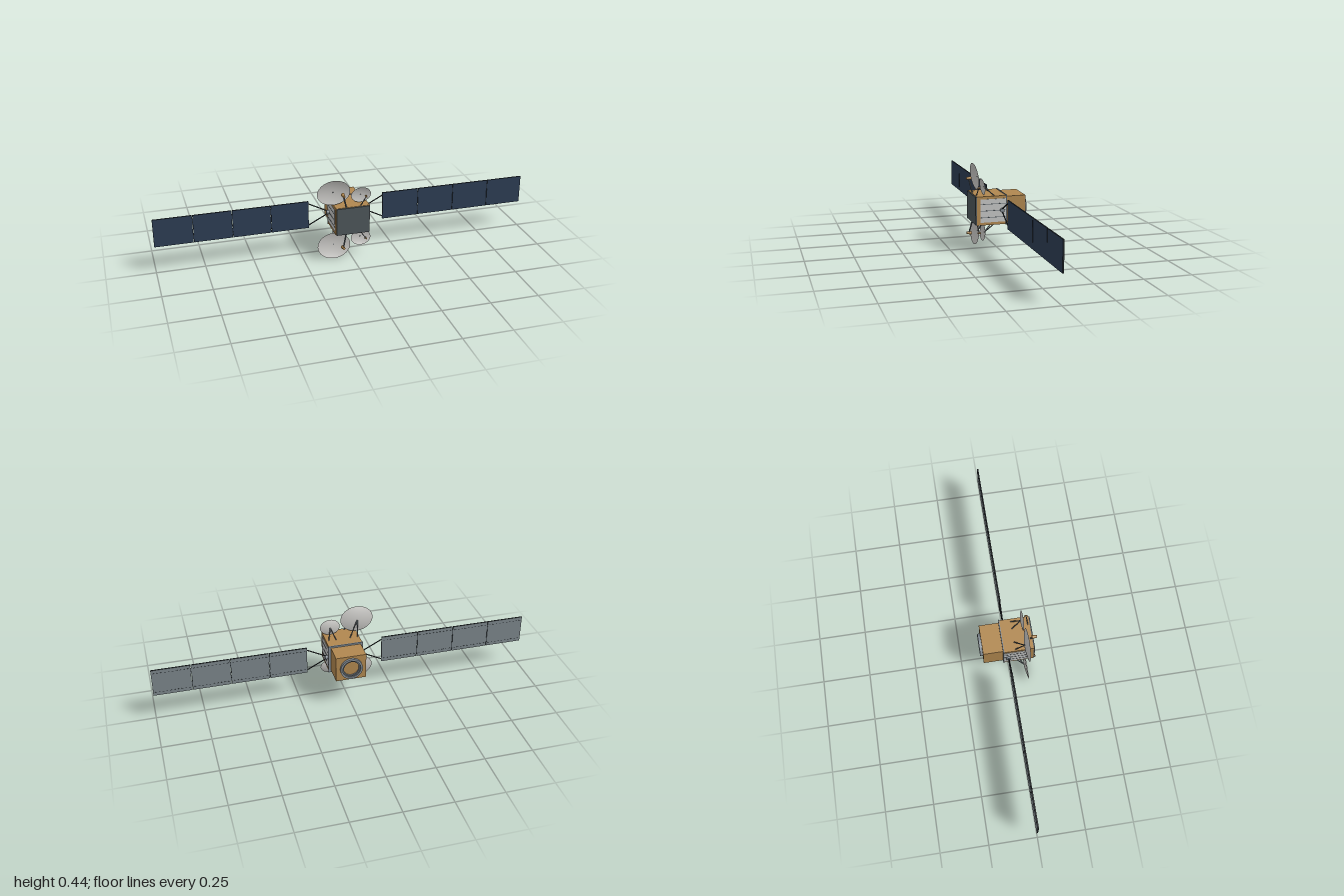
import * as THREE from 'three';

const mat = (name, color) => {
  const m = new THREE.MeshStandardMaterial({ color });
  m.name = name;
  return m;
};

export function createModel() {
  const gold = mat('gold foil', 0xb0874f);
  const white = mat('radiator white', 0xc4c5c4);
  const dishMat = mat('dish grey', 0xc6c5c2);
  dishMat.side = THREE.DoubleSide;
  const blue = mat('solar cell blue', 0x2d3d54);
  const panelBack = mat('panel back grey', 0x7b858a);
  const plate = mat('front plate grey', 0x4d565a);
  const strutMat = mat('strut grey', 0x5d666b);
  const metal = mat('ring metal', 0x868f97);
  const dark = mat('dark trim', 0x23292d);

  const root = new THREE.Group();
  root.name = 'satellite';
  const CY = 0.22; // height of the centre line

  const add = (name, geo, material, x = 0, y = CY, z = 0, parent = root) => {
    const m = new THREE.Mesh(geo, material);
    m.name = name;
    m.position.set(x, y, z);
    parent.add(m);
    return m;
  };
  const box = (name, w, h, d, material, x, y, z, parent) =>
    add(name, new THREE.BoxGeometry(w, h, d), material, x, y, z, parent);
  // round bar between two points
  const strut = (name, a, b, r, material = strutMat) => {
    const p = new THREE.Vector3(...a), q = new THREE.Vector3(...b);
    const dir = q.clone().sub(p);
    const m = add(name, new THREE.CylinderGeometry(r, r, dir.length(), 10), material);
    m.position.copy(p).add(q).multiplyScalar(0.5);
    m.quaternion.setFromUnitVectors(new THREE.Vector3(0, 1, 0), dir.normalize());
    return m;
  };

  // body
  box('payloadModule', 0.18, 0.151, 0.158, gold, 0, CY, 0.049);
  box('frontPlate', 0.176, 0.147, 0.008, plate, 0, CY, 0.131);
  box('serviceModule', 0.16, 0.138, 0.106, gold, 0, CY, -0.081);
  box('flange', 0.186, 0.157, 0.006, metal, 0, CY, -0.028);

  // docking ring on the back: stepped, open in the middle
  const ringProfile = [[0.04, 0], [0.04, 0.007], [0.048, 0.007], [0.048, 0.014], [0.0585, 0.014], [0.0585, 0]]
    .map(([r, y]) => new THREE.Vector2(r, y));
  for (let i = 0; i < ringProfile.length - 1; i++) {
    // each step is its own band so the edges stay sharp
    const geo = new THREE.LatheGeometry([ringProfile[i + 1], ringProfile[i]], 40);
    geo.rotateX(-Math.PI / 2);
    const m = add('adapterRing', geo, i === 1 ? ringInner() : metal, 0, CY, -0.134);
    m.material.side = THREE.DoubleSide;
  }
  function ringInner() { return strutMat; }

  for (const s of [1, -1]) {
    // side radiators with dark ribs
    box('radiator', 0.003, 0.122, 0.136, white, s * 0.0905, CY, 0.042);
    for (const dy of [-0.035, 0, 0.035])
      box('radiatorRib', 0.003, 0.003, 0.136, strutMat, s * 0.0915, CY + dy, 0.042);

    // wing hub and yoke
    const hub = add('wingHub', new THREE.CylinderGeometry(0.011, 0.011, 0.016, 20), metal, s * 0.097, CY, -0.004);
    hub.rotation.z = Math.PI / 2;
    for (const t of [1, -1])
      strut('yokeArm', [s * 0.1, CY + t * 0.008, -0.004], [s * 0.202, CY + t * 0.061, -0.004], 0.003, dark);

    // solar wing: four panels, blue in front, grey behind
    const wing = new THREE.Group();
    wing.name = 'solarWing';
    root.add(wing);
    for (let i = 0; i < 4; i++) {
      const x = s * (0.3 + i * 0.2);
      box('solarPanel', 0.197, 0.15, 0.007, [dark, dark, dark, dark, blue, panelBack], x, CY, -0.004, wing);
      for (const t of [1, -1]) {
        if (i < 3) box('hinge', 0.006, 0.03, 0.005, dark, x + s * 0.1, CY + t * 0.04, -0.004, wing);
        // dashed wiring on the back
        for (let k = 0; k < 10; k++)
          box('wiringDash', 0.009, 0.0022, 0.001, dark, x - 0.086 + k * 0.019, CY + t * 0.056, -0.0078, wing);
      }
    }
  }

  // reflector dishes with feeds, above and below the body
  const dishes = [
    { x: -0.092, dy: 0.149, z: 0.093, r: 0.0875, depth: 0.014, bases: [-0.08, -0.04],
      feed: [-0.053, 0.147, 0.135], horn: 0.0095, len: 0.026, foot: [-0.033, 0.12] },
    { x: 0.054, dy: 0.121, z: 0.09, r: 0.053, depth: 0.009, bases: [0.035, 0.075],
      feed: [0.075, 0.119, 0.114], horn: 0.0055, len: 0.015, foot: [0.043, 0.119] },
  ];
  for (const t of [1, -1]) for (const d of dishes) {
    const profile = [];
    for (let i = 0; i <= 10; i++) {
      const u = i / 10;
      profile.push(new THREE.Vector2(d.r * u, d.depth * (u * u - 1)));
    }
    const geo = new THREE.LatheGeometry(profile, 40);
    geo.rotateX(Math.PI / 2);
    geo.scale(1, 0.8, 1);
    const dish = add('reflectorDish', geo, dishMat, d.x, CY + t * d.dy, d.z);
    dish.rotation.x = t * 0.105;

    for (const bx of d.bases)
      strut('dishStrut', [d.x, CY + t * d.dy, d.z - d.depth], [bx, CY + t * 0.074, 0.033], 0.0028);

    const [fx, fy, fz] = d.feed;
    strut('feedArm', [d.foot[0], CY + t * 0.073, d.foot[1]], [fx, CY + t * fy, fz], d.horn * 0.4);
    const horn = add('feedHorn', new THREE.CylinderGeometry(d.horn * 0.68, d.horn, d.len, 16), gold, fx, CY + t * fy, fz);
    horn.rotation.x = Math.PI / 2 + t * 0.08;
  }
  return root;
}
